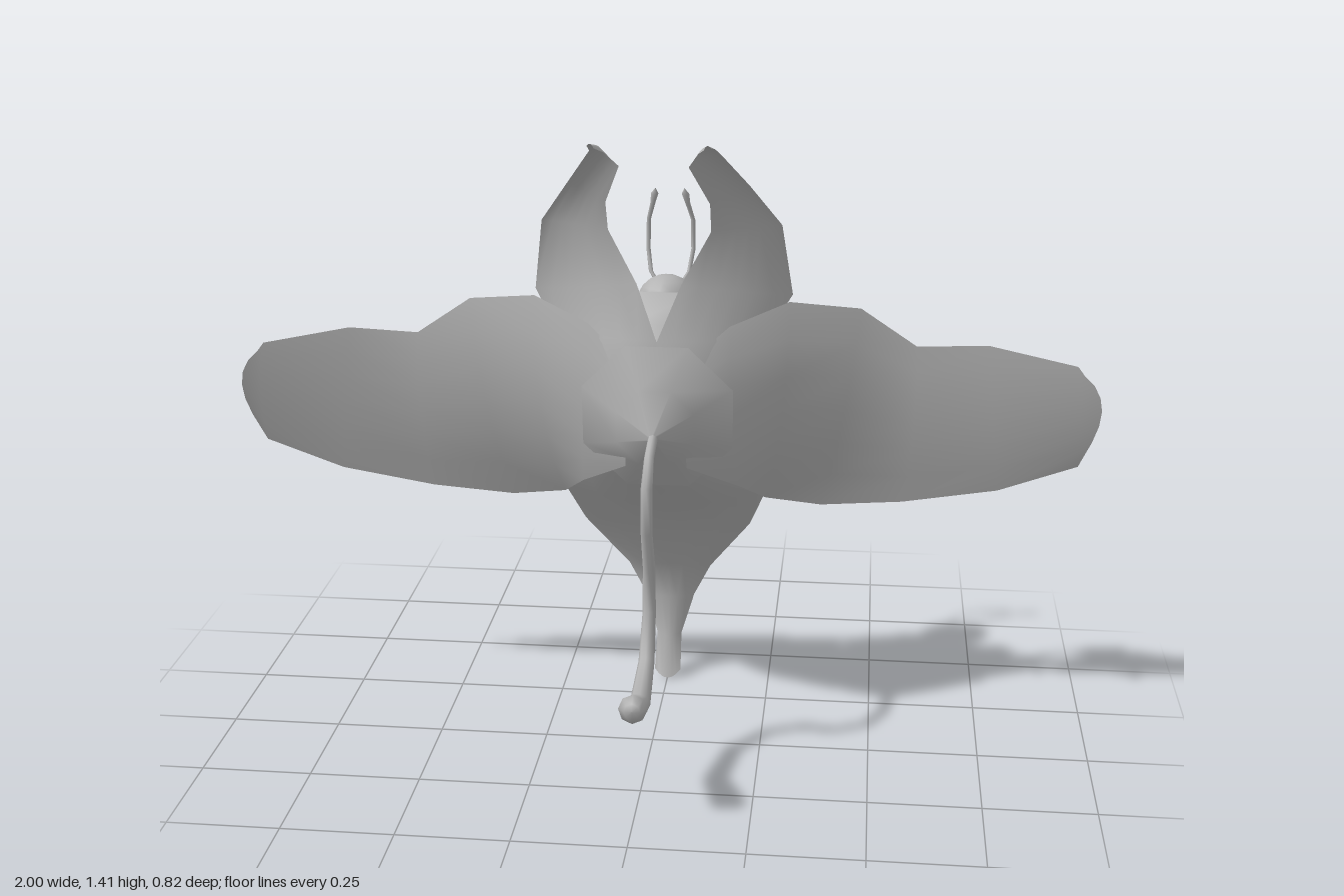
import * as THREE from 'three';

const grey = new THREE.MeshStandardMaterial({ color: 0xb2b2b2, side: THREE.DoubleSide });
grey.name = 'grey';

// Skin a grid of rows of points; closed rows wrap round into a ring
function loft(rows, closed = false) {
  const n = rows[0].length, cols = closed ? n : n - 1, index = [];
  for (let i = 0; i < rows.length - 1; i++) {
    for (let j = 0; j < cols; j++) {
      const a = i * n + j, b = i * n + (j + 1) % n;
      index.push(a, b, a + n, b, b + n, a + n);
    }
  }
  const g = new THREE.BufferGeometry();
  g.setAttribute('position', new THREE.Float32BufferAttribute(rows.flat(2), 3));
  g.setIndex(index);
  g.computeVertexNormals();
  return g;
}

// Petal from [edge, middle, edge] sections, curved across its width
function petal(sections, across = 6) {
  return loft(sections.map(s => {
    const [a, m, b] = s.map(p => new THREE.Vector3(...p));
    const c = m.clone().multiplyScalar(2).addScaledVector(a, -0.5).addScaledVector(b, -0.5);
    return new THREE.QuadraticBezierCurve3(a, c, b).getPoints(across).map(p => p.toArray());
  }));
}

// Round limb along [x, y, z, radius] points, flattened or widened along x
function limb(points, sides = 8, wide = 1) {
  const p = points.map(q => new THREE.Vector3(q[0], q[1], q[2]));
  const rows = points.map((q, i) => {
    const t = p[Math.min(i + 1, p.length - 1)].clone().sub(p[Math.max(i - 1, 0)]).normalize();
    const n = t.cross(new THREE.Vector3(1, 0, 0)).normalize();
    return Array.from({ length: sides }, (_, k) => {
      const a = k / sides * Math.PI * 2;
      return p[i].clone().addScaledVector(n, Math.sin(a) * q[3])
        .add(new THREE.Vector3(Math.cos(a) * q[3] * wide, 0, 0)).toArray();
    });
  });
  return loft(rows, true);
}

const mirror = sections => sections.map(s => s.map(([x, ...r]) => [-x, ...r]));

// Octagonal cup from [radius, centre y, z, tilt] rings
function cup(rings) {
  return loft(rings.map(([r, y, z, tilt]) => Array.from({ length: 8 }, (_, k) => {
    const a = (k + 0.5) / 8 * Math.PI * 2;
    return [Math.cos(a) * r, y + Math.sin(a) * r, z + Math.sin(a) * tilt];
  })), true);
}

export function createModel() {
  const model = new THREE.Group();
  const flower = new THREE.Group(), fairy = new THREE.Group();
  flower.name = 'flower';
  fairy.name = 'fairy';
  model.add(flower, fairy);
  const add = (parent, name, geometry) => {
    const m = new THREE.Mesh(geometry, grey);
    m.name = name;
    parent.add(m);
    return m;
  };
  const ball = (parent, name, r, pos, scale = [1, 1, 1]) => {
    const m = add(parent, name, new THREE.SphereGeometry(r, 14, 10));
    m.position.set(...pos);
    m.scale.set(...scale);
  };

  // Cup, with its point in front and its mouth behind
  add(flower, 'calyx', cup([[0.005, 0.74, 0, 0], [0.095, 0.75, -0.045, 0.008], [0.185, 0.76, -0.098, 0.025]]));
  add(flower, 'outerCup', cup([[0.12, 0.76, -0.07, 0.015], [0.19, 0.79, -0.15, 0.02], [0.225, 0.81, -0.24, 0.015]]));
  add(flower, 'innerCup', cup([[0.03, 0.76, -0.05, 0], [0.13, 0.79, -0.13, 0.01], [0.17, 0.8, -0.22, 0.01]]));

  // Broad side petals and horned upper petals
  const side = [
    [[0.04, 0.87, -0.07], [0.06, 0.76, -0.05], [0.07, 0.65, -0.07]],
    [[0.16, 0.97, -0.12], [0.17, 0.77, -0.105], [0.18, 0.58, -0.16]],
    [[0.29, 1.015, -0.18], [0.28, 0.76, -0.17], [0.24, 0.51, -0.28]],
    [[0.45, 0.99, -0.235], [0.42, 0.75, -0.23], [0.37, 0.49, -0.30]],
    [[0.58, 0.90, -0.25], [0.58, 0.71, -0.25], [0.56, 0.51, -0.285]],
    [[0.74, 0.91, -0.24], [0.76, 0.73, -0.245], [0.78, 0.55, -0.275]],
    [[0.94, 0.875, -0.21], [0.96, 0.75, -0.225], [0.96, 0.62, -0.262]],
    [[0.955, 0.855, -0.21], [1.0, 0.77, -0.215], [0.965, 0.64, -0.255]],
  ];
  const upper = [
    [[0.0, 0.85, -0.065], [0.06, 0.84, -0.065], [0.14, 0.82, -0.09]],
    [[0.0, 0.94, -0.08], [0.12, 0.94, -0.10], [0.23, 0.92, -0.17]],
    [[0.05, 1.06, -0.13], [0.17, 1.04, -0.165], [0.295, 1.02, -0.23]],
    [[0.115, 1.18, -0.14], [0.195, 1.185, -0.17], [0.27, 1.19, -0.18]],
    [[0.115, 1.25, -0.10], [0.165, 1.27, -0.125], [0.2, 1.29, -0.115]],
    [[0.075, 1.345, -0.02], [0.11, 1.365, -0.035], [0.14, 1.375, -0.03]],
    [[0.10, 1.385, 0.04], [0.115, 1.4, 0.04], [0.135, 1.395, 0.035]],
    [[0.115, 1.4, 0.08], [0.122, 1.41, 0.085], [0.13, 1.405, 0.08]],
  ];
  add(flower, 'leftSidePetal', petal(side));
  add(flower, 'rightSidePetal', petal(mirror(side)));
  add(flower, 'leftUpperPetal', petal(upper));
  add(flower, 'rightUpperPetal', petal(mirror(upper)));

  // Lower petal: half width, edge y, edge z, middle y, middle z
  const lower = [
    [0.10, 0.69, -0.07, 0.66, -0.06],
    [0.175, 0.62, -0.18, 0.58, -0.13],
    [0.24, 0.53, -0.27, 0.5, -0.23],
    [0.2, 0.42, -0.34, 0.42, -0.30],
    [0.1, 0.28, -0.405, 0.29, -0.38],
    [0.06, 0.2, -0.41, 0.2, -0.388],
    [0.03, 0.1, -0.395, 0.1, -0.375],
    [0.032, 0.02, -0.35, 0.0, -0.34],
  ];
  add(flower, 'lowerPetal', petal(lower.map(([w, ey, ez, my, mz]) => [[w, ey, ez], [0, my, mz], [-w, ey, ez]])));

  // Long kinked stem hanging in front, thicker at its cut end
  add(flower, 'stem', limb([
    [0, 0.74, -0.01, 0.011], [0, 0.72, 0.075, 0.011], [0, 0.665, 0.125, 0.013], [0, 0.565, 0.125, 0.013],
    [0, 0.465, 0.075, 0.014], [0, 0.355, 0.07, 0.015], [0, 0.258, 0.128, 0.018], [0, 0.217, 0.26, 0.023],
    [0, 0.27, 0.395, 0.031], [0, 0.271, 0.41, 0.018], [0, 0.2715, 0.412, 0.0005],
  ]));

  // Fairy, facing away from the flower's front
  add(fairy, 'torso', limb([
    [0, 0.90, -0.315, 0.013], [0, 0.865, -0.318, 0.016], [0, 0.845, -0.322, 0.026], [0, 0.81, -0.33, 0.033],
    [0, 0.77, -0.335, 0.024], [0, 0.73, -0.335, 0.032], [0, 0.69, -0.33, 0.033], [0, 0.655, -0.325, 0.008],
  ], 12, 1.25));
  ball(fairy, 'head', 0.054, [0, 0.945, -0.32], [1, 1.1, 0.95]);
  ball(fairy, 'hairCap', 0.064, [0, 0.976, -0.307], [1.08, 1, 0.98]);
  ball(fairy, 'nose', 0.008, [0, 0.93, -0.372]);
  add(fairy, 'hair', limb([
    [0, 1.0, -0.295, 0.03], [0, 0.95, -0.295, 0.045], [0, 0.9, -0.285, 0.035],
    [0, 0.865, -0.275, 0.02], [0, 0.835, -0.265, 0.003],
  ], 10, 1.35));

  for (const s of [1, -1]) {
    const sideName = s > 0 ? 'left' : 'right';
    ball(fairy, sideName + 'Eye', 0.011, [s * 0.021, 0.952, -0.366], [1, 1.2, 0.6]);
    add(fairy, sideName + 'Leg', limb([
      [s * 0.02, 0.71, -0.33, 0.022], [s * 0.023, 0.67, -0.33, 0.025], [s * 0.027, 0.61, -0.322, 0.017],
      [s * 0.03, 0.58, -0.318, 0.018], [s * 0.034, 0.535, -0.31, 0.011], [s * 0.036, 0.51, -0.306, 0.006],
      [s * 0.036, 0.505, -0.306, 0.0005],
    ]));
    add(fairy, sideName + 'Antenna', limb([
      [s * 0.025, 1.0, -0.365, 0.005], [s * 0.045, 1.03, -0.38, 0.005], [s * 0.053, 1.08, -0.4, 0.005],
      [s * 0.052, 1.15, -0.4, 0.005], [s * 0.04, 1.195, -0.383, 0.006], [s * 0.036, 1.215, -0.377, 0.009],
      [s * 0.034, 1.228, -0.373, 0.001],
    ], 6));
    // Flared wing sweeping down from the shoulder
    const wing = [
      [[0.025, 0.855, -0.31], [0.025, 0.83, -0.315], [0.025, 0.79, -0.315]],
      [[0.09, 0.815, -0.32], [0.08, 0.785, -0.338], [0.065, 0.75, -0.325]],
      [[0.17, 0.77, -0.325], [0.145, 0.72, -0.342], [0.115, 0.67, -0.325]],
      [[0.262, 0.705, -0.328], [0.24, 0.645, -0.335], [0.19, 0.59, -0.322]],
    ];
    add(fairy, sideName + 'Wing', petal(s > 0 ? wing : mirror(wing)));
  }
  return model;
}
